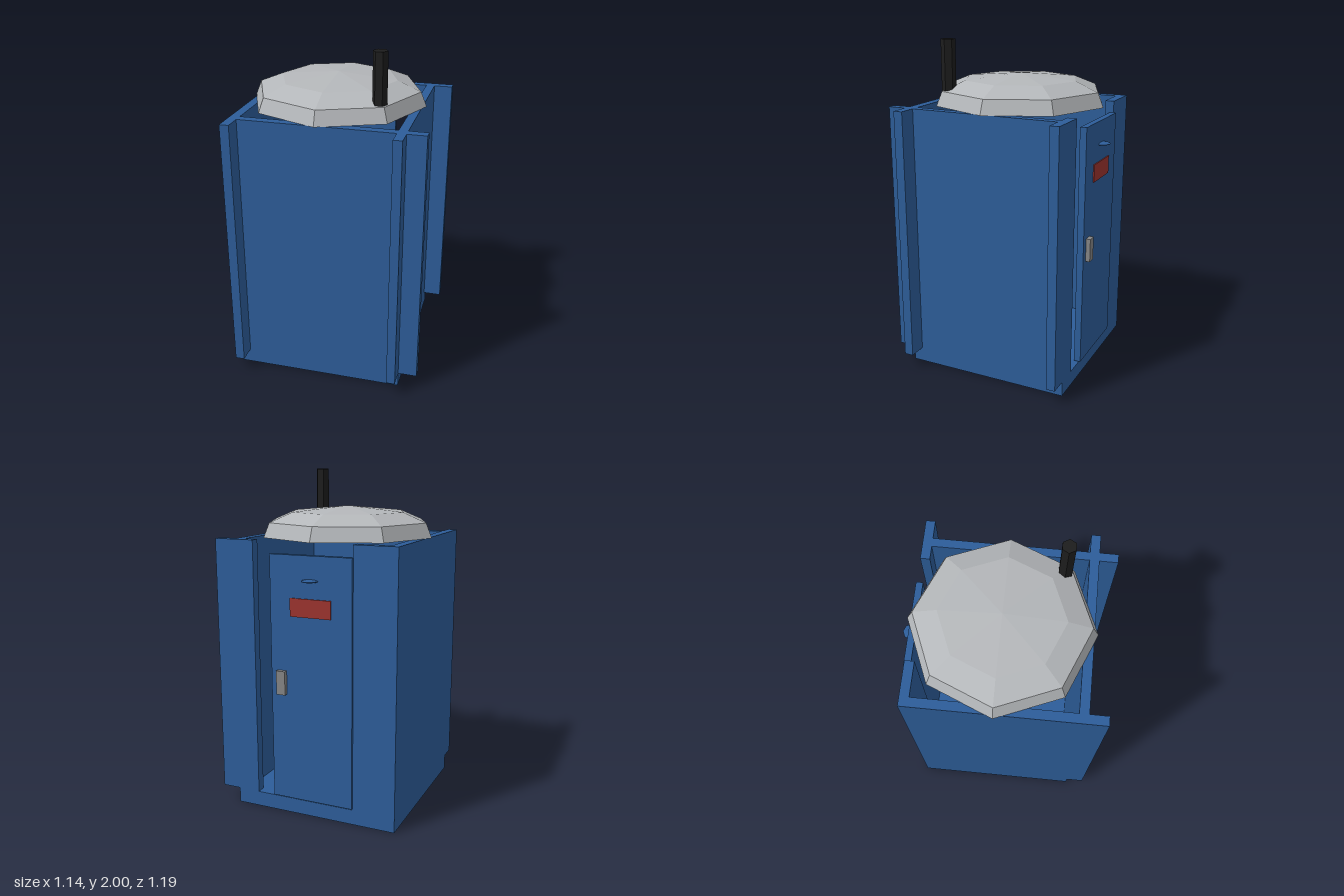
import * as THREE from 'three';

const material = (name, color) => {
  const m = new THREE.MeshStandardMaterial({ color, flatShading: true });
  m.name = name;
  return m;
};

export function createModel() {
  const group = new THREE.Group();
  const blue = material('panelBlue', 0x2d5d99);
  const grey = material('roofGrey', 0xb4b7ba);
  const black = material('pipeBlack', 0x1d1d1d);
  const red = material('signRed', 0x9c332f);
  const steel = material('handleGrey', 0x858585);

  const add = (name, geometry, mat) => {
    const mesh = new THREE.Mesh(geometry, mat);
    mesh.name = name;
    group.add(mesh);
    return mesh;
  };
  // Box given by its limits on each axis
  const box = (name, mat, [x0, x1], [y0, y1], [z0, z1]) => {
    const g = new THREE.BoxGeometry(x1 - x0, y1 - y0, z1 - z0);
    g.translate((x0 + x1) / 2, (y0 + y1) / 2, (z0 + z1) / 2);
    return add(name, g, mat);
  };

  // Floor slab and the overlapping wall panels, open at the top
  const wallY = [0.09, 1.615];
  box('floor', blue, [-0.55, 0.457], [0, 0.09], [-0.525, 0.485]);
  box('rightWall', blue, [-0.55, -0.495], wallY, [-0.525, 0.592]);
  box('leftWall', blue, [0.405, 0.457], wallY, [-0.47, 0.592]);
  box('frontWallInner', blue, [-0.495, 0.405], wallY, [0.43, 0.485]);
  box('frontWallEnd', blue, [0.457, 0.568], wallY, [0.43, 0.485]);
  box('backWallRight', blue, [-0.495, -0.293], wallY, [-0.525, -0.47]);
  box('backWallLeft', blue, [0.323, 0.568], wallY, [-0.525, -0.47]);

  // Door, narrower than its opening, with its fittings
  box('door', blue, [-0.295, 0.207], [0.1, 1.545], [-0.54, -0.5]);
  box('doorSign', red, [-0.17, 0.08], [1.2, 1.305], [-0.547, -0.539]);
  box('doorHandle', steel, [0.11, 0.165], [0.74, 0.88], [-0.566, -0.539]);
  const knob = add('doorKnob', new THREE.SphereGeometry(0.05, 8, 6), blue);
  knob.scale.y = 0.18;
  knob.position.set(-0.045, 1.407, -0.546);

  // Shallow eight-sided roof, closed underneath
  const profile = [[0, 0], [0.525, 0], [0.49, 0.085], [0.35, 0.142], [0, 0.175]]
    .map(([r, y]) => new THREE.Vector2(r, y));
  const roof = add('roof', new THREE.LatheGeometry(profile, 8), grey);
  roof.position.set(-0.045, 1.615, -0.02);

  // Six-sided chimney pipe
  const chimney = add('chimney', new THREE.CylinderGeometry(0.042, 0.042, 0.295, 6), black);
  chimney.rotation.y = Math.PI / 6;
  chimney.position.set(0.27, 1.8525, 0.295);

  return group;
}
